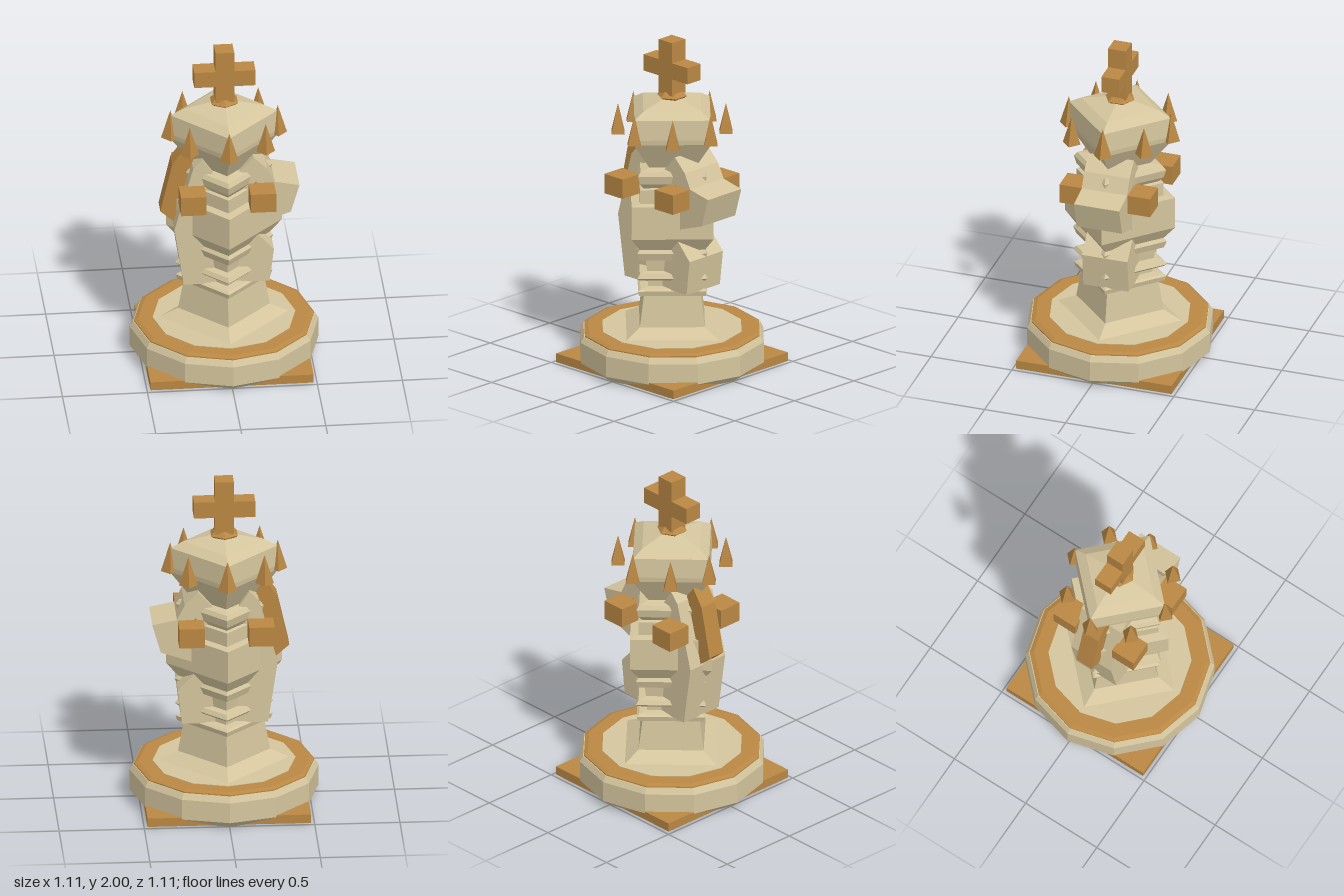
import * as THREE from 'three';

const cream = new THREE.MeshStandardMaterial({ color: 0xd4c59d, flatShading: true });
cream.name = 'cream';
const brown = new THREE.MeshStandardMaterial({ color: 0xb98743, flatShading: true });
brown.name = 'brown';

export function createModel() {
  const group = new THREE.Group();
  const add = (name, geometry, material, x = 0, y = 0, z = 0) => {
    const mesh = new THREE.Mesh(geometry, material);
    mesh.name = name;
    mesh.position.set(x, y, z);
    group.add(mesh);
    return mesh;
  };
  const box = (name, w, h, d, material, x, y, z) =>
    add(name, new THREE.BoxGeometry(w, h, d), material, x, y, z);
  const lathe = (name, points, sides, material) =>
    add(name, new THREE.LatheGeometry(points.map(([r, y]) => new THREE.Vector2(r, y)), sides), material);
  // Flat outline in x and y, extruded evenly to both sides of z = 0
  const slab = (name, points, depth, material) => {
    const shape = new THREE.Shape(points.map(([x, y]) => new THREE.Vector2(x, y)));
    const geometry = new THREE.ExtrudeGeometry(shape, { depth, bevelEnabled: false });
    geometry.translate(0, 0, -depth / 2);
    return add(name, geometry, material);
  };

  // Base: square plate, twelve-sided foot, trim ring and thin inset
  box('basePlate', 0.96, 0.053, 0.96, brown, 0, 0.0295, 0);
  lathe('foot', [[0, 0], [0.5, 0], [0.555, 0.045], [0.555, 0.17], [0.535, 0.205], [0, 0.205]], 12, cream);
  lathe('footTrim', [[0.53, 0.205], [0.53, 0.212], [0.505, 0.222], [0, 0.222]], 12, brown);
  lathe('footInset', [[0.42, 0.222], [0.42, 0.225], [0, 0.225]], 12, cream);

  // Four-sided turned body, with its corners on the axes
  lathe('body', [
    [0.39, 0.22], [0.27, 0.28], [0.235, 0.475],
    [0.275, 0.475], [0.285, 0.505], [0.265, 0.515], [0.2, 0.52],
    [0.2, 0.565], [0.27, 0.57], [0.29, 0.585], [0.27, 0.61], [0.21, 0.615],
    [0.22, 0.69], [0.27, 0.695], [0.29, 0.74], [0.27, 0.76],
    [0.34, 0.84], [0.34, 1.04], [0.27, 1.045],
    [0.27, 1.13], [0.24, 1.135], [0.27, 1.165], [0.285, 1.215], [0.265, 1.24], [0.19, 1.25],
    [0.32, 1.42], [0.325, 1.45], [0.315, 1.57], [0.24, 1.61], [0.08, 1.645], [0, 1.65],
  ], 4, cream);

  // Horse head running through the body, with its mane and eyes
  slab('horseHead', [
    [-0.25, 0.51], [0.255, 0.51], [0.28, 0.72], [0.18, 0.83], [0.205, 0.905],
    [0.38, 0.965], [0.43, 1.14], [0.285, 1.17], [0.24, 1.26], [0.16, 1.34],
    [0.07, 1.24], [-0.075, 1.24], [-0.14, 1.34], [-0.195, 1.28], [-0.305, 0.88],
  ], 0.28, cream);
  slab('mane', [
    [-0.38, 0.96], [-0.3, 0.89], [-0.185, 1.3], [-0.24, 1.37], [-0.31, 1.27],
  ], 0.11, brown);
  for (const side of [-1, 1]) {
    add('eye', new THREE.OctahedronGeometry(0.03), brown, 0.175, 1.15, side * 0.14);
  }

  // Battlement blocks on the four diagonals
  for (const sx of [-1, 1]) {
    for (const sz of [-1, 1]) {
      box('battlement', 0.15, 0.12, 0.15, brown, sx * 0.205, 1.107, sz * 0.205);
    }
  }

  // Ring of eight crown spikes
  for (let i = 0; i < 8; i++) {
    const a = (i * Math.PI) / 4;
    add('crownSpike', new THREE.ConeGeometry(0.055, 0.18, 4), brown,
      0.316 * Math.sin(a), 1.515, 0.316 * Math.cos(a));
  }

  // Cross on a small faceted knob
  lathe('crossKnob', [[0, 1.63], [0.065, 1.635], [0.09, 1.655], [0.06, 1.685], [0, 1.69]], 6, brown);
  box('crossUpright', 0.11, 0.33, 0.11, brown, 0, 1.835, 0);
  for (const side of [-1, 1]) {
    box('crossArm', 0.125, 0.1, 0.11, brown, side * 0.1175, 1.826, 0);
  }

  return group;
}
